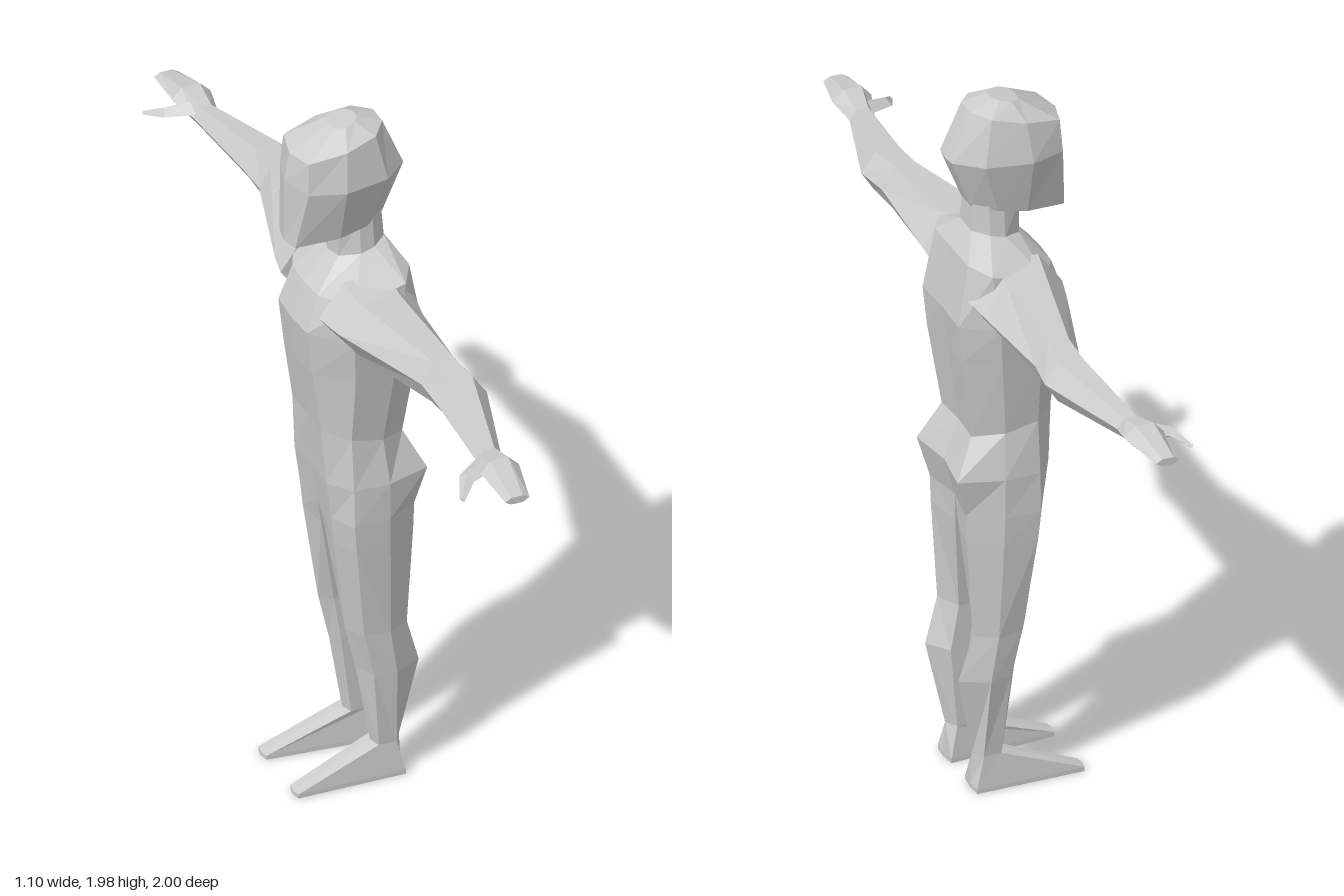
import * as THREE from 'three';

const material = new THREE.MeshStandardMaterial({ color: 0xcccccc, flatShading: true });

// Skin a list of equal-length rings and close both ends; faces always point outward.
function loft(name, rings) {
  const n = rings[0].length;
  const tris = [];
  for (let i = 0; i < rings.length - 1; i++) {
    for (let j = 0; j < n; j++) {
      const k = (j + 1) % n;
      const a = rings[i][j], b = rings[i][k], c = rings[i + 1][k], d = rings[i + 1][j];
      tris.push([a, b, c], [a, c, d]);
    }
  }
  const cap = (ring, flip) => {
    const m = ring.reduce((s, p) => s.add(p), new THREE.Vector3()).divideScalar(n);
    for (let j = 0; j < n; j++) {
      const k = (j + 1) % n;
      tris.push(flip ? [m, ring[k], ring[j]] : [m, ring[j], ring[k]]);
    }
  };
  cap(rings[0], true);
  cap(rings[rings.length - 1], false);
  const volume = tris.reduce((v, [a, b, c]) => v + a.dot(b.clone().cross(c)), 0);
  if (volume < 0) tris.forEach((t) => t.reverse());
  const geometry = new THREE.BufferGeometry().setFromPoints(tris.flat());
  geometry.computeVertexNormals();
  const mesh = new THREE.Mesh(geometry, material);
  mesh.name = name;
  return mesh;
}

// Symmetric horizontal ring from its left half (front centre to back centre), tilted front to back.
function slice(yFront, yBack, half) {
  const zf = half[0][1], zb = half[half.length - 1][1];
  const at = (x, z) => new THREE.Vector3(x, THREE.MathUtils.mapLinear(z, zf, zb, yFront, yBack), z);
  const left = half.map(([x, z]) => at(x, z));
  const right = half.slice(1, -1).reverse().map(([x, z]) => at(-x, z));
  return [...left, ...right];
}

// Six-sided arm section at distance x from the body centre.
function armRing(s, [x, top, bottom, front, back]) {
  const mid = (top + bottom) / 2;
  const zAt = (t) => THREE.MathUtils.lerp(front, back, t);
  return [[mid, 0], [top, 0.25], [top, 0.72], [mid, 1], [bottom, 0.75], [bottom, 0.25]]
    .map(([y, t]) => new THREE.Vector3(s * x, y, zAt(t)));
}

const level = (s, y, pts) => pts.map(([x, z]) => new THREE.Vector3(s * x, y, z));

const hip = [[0, 0.07], [0.1, 0.075], [0.17, 0.04], [0.17, -0.06], [0.12, -0.15], [0, -0.13]];
const ankle = [[0.055, -0.05], [0.087, -0.04], [0.12, -0.05], [0.122, -0.1], [0.09, -0.12], [0.055, -0.1]];
const sole = [[0.075, 0.18], [0.1, 0.185], [0.126, 0.18], [0.132, -0.122], [0.09, -0.125], [0.045, -0.12]];

export function createModel() {
  const figure = new THREE.Group();
  figure.name = 'figure';

  // Pelvis, chest, shoulders and neck
  figure.add(loft('torso', [
    slice(0.82, 0.82, hip),
    slice(0.93, 0.93, [[0, 0.085], [0.1, 0.09], [0.165, 0.04], [0.17, -0.06], [0.135, -0.18], [0, -0.16]]),
    slice(1.09, 1.04, [[0, 0.1], [0.09, 0.1], [0.15, 0.04], [0.148, -0.05], [0.1, -0.125], [0, -0.12]]),
    slice(1.27, 1.27, [[0, 0.13], [0.09, 0.125], [0.175, 0.04], [0.175, -0.07], [0.115, -0.16], [0, -0.15]]),
    slice(1.4, 1.38, [[0, 0.145], [0.09, 0.14], [0.19, 0.05], [0.19, -0.08], [0.12, -0.17], [0, -0.165]]),
    slice(1.5, 1.55, [[0, 0.11], [0.08, 0.105], [0.19, 0.05], [0.18, -0.1], [0.11, -0.14], [0, -0.14]]),
    slice(1.58, 1.61, [[0, 0.04], [0.045, 0.03], [0.075, -0.02], [0.07, -0.06], [0.04, -0.1], [0, -0.1]]),
    slice(1.67, 1.69, [[0, 0.04], [0.045, 0.03], [0.065, -0.02], [0.06, -0.06], [0.035, -0.095], [0, -0.095]]),
  ]));

  // Head from jaw to crown
  figure.add(loft('head', [
    slice(1.64, 1.68, [[0, 0.165], [0.05, 0.155], [0.08, 0.04], [0.07, -0.04], [0.03, -0.1], [0, -0.1]]),
    slice(1.82, 1.82, [[0, 0.165], [0.09, 0.135], [0.122, 0.04], [0.1, -0.085], [0.04, -0.155], [0, -0.16]]),
    slice(1.905, 1.955, [[0, 0.15], [0.08, 0.13], [0.1, 0.03], [0.08, -0.06], [0.03, -0.1], [0, -0.1]]),
    slice(1.965, 1.977, [[0, 0.04], [0.03, 0.035], [0.045, 0.01], [0.035, -0.02], [0.015, -0.035], [0, -0.035]]),
  ]));

  for (const [side, s] of [['left', 1], ['right', -1]]) {
    // Arm from shoulder to wrist
    figure.add(loft(side + 'Arm', [
      [0.12, 1.55, 1.365, 0.12, -0.15],
      [0.2, 1.53, 1.37, 0.1, -0.138],
      [0.51, 1.517, 1.393, 0.005, -0.12],
      [0.61, 1.51, 1.4, 0.007, -0.135],
      [0.89, 1.477, 1.42, 0.02, -0.05],
    ].map((r) => armRing(s, r))));

    // Flat mitten hand
    figure.add(loft(side + 'Hand', [
      [0.89, 1.477, 1.42, 0.02, -0.05],
      [0.97, 1.495, 1.435, 0.045, -0.064],
      [1.105, 1.462, 1.442, 0.035, -0.033],
    ].map((r) => armRing(s, r))));

    // Thumb hooking forward and down
    const thumb = [[0.92, 1.458, 0.0, 0.032], [0.95, 1.445, 0.075, 0.022], [1.005, 1.422, 0.112, 0.008]];
    figure.add(loft(side + 'Thumb', thumb.map(([x, y, z, r]) => [[1, 0], [0, 0.7], [-1, 0], [0, -0.7]]
      .map(([u, v]) => new THREE.Vector3(s * (x + u * r), y + v * r, z - u * r * 0.5)))));

    // Leg from hip to ankle
    figure.add(loft(side + 'Leg', [
      level(s, 0.82, hip),
      level(s, 0.74, [[0.01, 0.055], [0.098, 0.067], [0.167, 0.033], [0.168, -0.062], [0.12, -0.147], [0.01, -0.125]]),
      level(s, 0.46, [[0.05, 0], [0.085, 0.03], [0.14, 0], [0.152, -0.07], [0.118, -0.13], [0.045, -0.1]]),
      level(s, 0.33, [[0.05, -0.02], [0.085, 0], [0.135, -0.03], [0.148, -0.09], [0.11, -0.167], [0.05, -0.12]]),
      level(s, 0.1, ankle),
    ]));

    // Wedge foot
    figure.add(loft(side + 'Foot', [level(s, 0.1, ankle), level(s, 0.012, sole), level(s, 0, sole)]));
  }

  // The figure stands turned toward its right
  figure.rotation.y = -1.095;
  const model = new THREE.Group();
  model.name = 'standingFigure';
  model.add(figure);
  return model;
}
